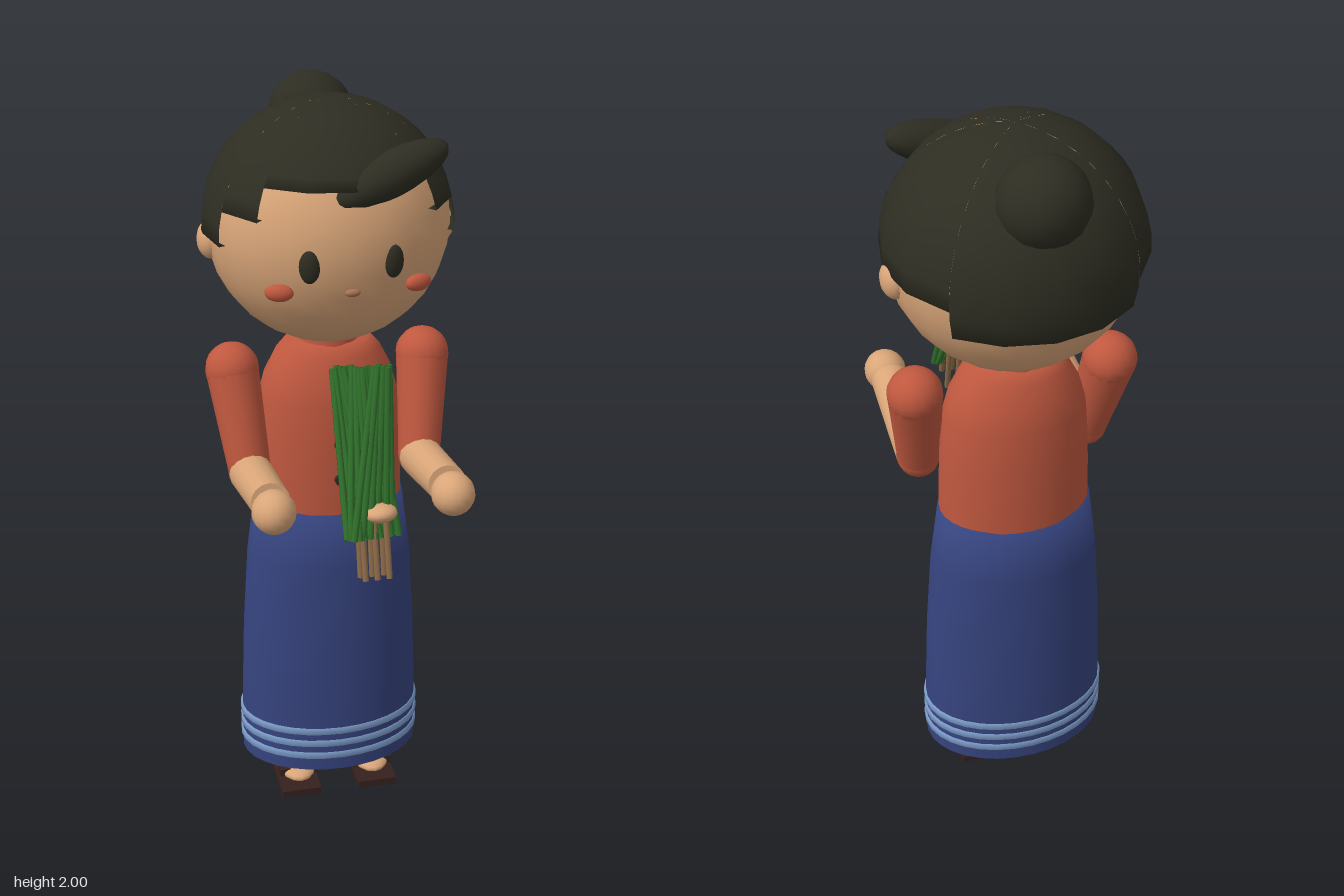
import * as THREE from 'three';

const paint = (name, color, side = THREE.FrontSide) => {
  const m = new THREE.MeshStandardMaterial({ color, side });
  m.name = name;
  return m;
};

export function createModel() {
  const skin = paint('skin', 0xdaa679);
  const hair = paint('hair', 0x2d2d22, THREE.DoubleSide);
  const red = paint('red cloth', 0xc0583f);
  const blue = paint('blue cloth', 0x36447f, THREE.DoubleSide);
  const paleBlue = paint('pale blue stripe', 0x7c9cc9);
  const green = paint('leaf green', 0x2f6e2a);
  const stemBrown = paint('stem brown', 0x8c6a48);
  const soleBrown = paint('sandal brown', 0x35211e);
  const lip = paint('lip', 0xa8714f);

  const model = new THREE.Group();
  const V = (x, y, z) => new THREE.Vector3(x, y, z);
  const rad = THREE.MathUtils.degToRad;
  const MID = -0.135; // depth of the body axis

  const add = (name, geo, mat, x = 0, y = 0, z = 0, parent = model) => {
    const m = new THREE.Mesh(geo, mat);
    m.name = name;
    m.position.set(x, y, z);
    parent.add(m);
    return m;
  };
  const ball = (name, mat, x, y, z, rx, ry, rz, w = 16, h = 12) => {
    const m = add(name, new THREE.SphereGeometry(1, w, h), mat, x, y, z);
    m.scale.set(rx, ry, rz);
    return m;
  };
  // tapered rod between two points
  const rod = (name, mat, a, b, ra, rb, sides = 16) => {
    const d = b.clone().sub(a);
    const m = add(name, new THREE.CylinderGeometry(rb, ra, d.length(), sides), mat);
    m.position.copy(a).add(b).multiplyScalar(0.5);
    m.quaternion.setFromUnitVectors(V(0, 1, 0), d.normalize());
    return m;
  };
  // turned shape, flattened front to back
  const turned = (name, mat, pts, flat = 0.71) => {
    const g = new THREE.LatheGeometry(pts.map(p => new THREE.Vector2(...p)), 32);
    const m = add(name, g, mat, 0, 0, MID);
    m.scale.z = flat;
    return m;
  };

  // Skirt with three hem stripes
  turned('skirt', blue, [[0.251, 0.1], [0.25, 0.25], [0.241, 0.5], [0.226, 0.73], [0.204, 0.9], [0, 0.902]]);
  for (const y of [0.148, 0.188, 0.228]) {
    turned('hemStripe', paleBlue, [[0.248, y - 0.01], [0.256, y - 0.009], [0.256, y + 0.009], [0.248, y + 0.01]]);
  }

  // Blouse, collar and buttons
  turned('blouse', red, [[0.2, 0.895], [0.198, 1.0], [0.194, 1.1], [0.186, 1.2], [0.17, 1.26],
    [0.14, 1.32], [0.11, 1.355], [0, 1.36]], 0.73);
  add('collar', new THREE.CylinderGeometry(0.08, 0.085, 0.05, 24), red, 0, 1.355, MID);
  for (const [y, z] of [[1.29, -0.015], [1.2, 0.004], [1.1, 0.01], [1.0, 0.012]]) {
    add('button', new THREE.CylinderGeometry(0.014, 0.014, 0.02, 10), hair, 0, y, z).rotation.x = Math.PI / 2;
  }

  // Head and face
  const hy = 1.67, hz = -0.13;
  ball('head', skin, 0, hy, hz, 0.312, 0.312, 0.295, 24, 16);
  ball('mouth', lip, 0, 1.575, 0.153, 0.02, 0.01, 0.01);
  for (const s of [-1, 1]) {
    ball('eye', hair, s * 0.105, 1.645, 0.143, 0.026, 0.042, 0.016).rotation.y = s * 0.3;
    ball('cheek', red, s * 0.175, 1.575, 0.115, 0.036, 0.022, 0.018).rotation.y = s * 0.3;
    ball('ear', skin, s * 0.3, 1.635, -0.145, 0.035, 0.05, 0.046);
  }

  // Hair cap cut in steps: [start degree, end degree, lower edge]
  const R = 0.325;
  const steps = [[-45, 45, 1.83], [45, 67.5, 1.75], [67.5, 135, 1.66], [135, 225, 1.58],
    [225, 292.5, 1.66], [292.5, 315, 1.75]];
  for (const [a, b, edge] of steps) {
    const low = Math.asin((edge - hy) / R);
    const pts = [new THREE.Vector2(Math.cos(low) * 0.295, edge - hy)];
    for (let i = 0; i <= 10; i++) {
      const t = low + (Math.PI / 2 - low) * i / 10;
      pts.push(new THREE.Vector2(Math.max(0, Math.cos(t) * R), Math.sin(t) * 0.318));
    }
    add('hairCap', new THREE.LatheGeometry(pts, Math.round((b - a) / 22.5), rad(a), rad(b - a)), hair, 0, hy, hz);
  }
  ball('bun', hair, 0, 1.89, -0.335, 0.112, 0.11, 0.108);
  const tuft = ball('fringeTuft', hair, 0.11, 1.845, 0.085, 0.165, 0.055, 0.06);
  tuft.rotation.set(0, 0.25, 0.33);

  // Arms, hands, legs and sandals
  for (const s of [-1, 1]) {
    const shoulder = V(s * 0.256, 1.283, MID + 0.005), elbow = V(s * 0.23, 1.025, -0.045);
    const wrist = V(s * 0.228, 1.072, 0.24);
    ball('shoulder', red, ...shoulder, 0.071, 0.071, 0.071);
    rod('sleeve', red, elbow, shoulder, 0.056, 0.07);
    ball('sleeveElbow', red, ...elbow, 0.057, 0.06, 0.057);
    rod('forearm', skin, V(s * 0.23, 1.025, -0.03), wrist, 0.057, 0.051);
    ball('hand', skin, s * 0.229, 1.07, 0.287, 0.056, 0.056, 0.06);

    add('leg', new THREE.CylinderGeometry(0.055, 0.05, 0.3, 16), skin, s * 0.11, 0.24, MID);
    add('ankle', new THREE.CylinderGeometry(0.042, 0.04, 0.07, 16), skin, s * 0.11, 0.07, MID);
    ball('foot', skin, s * 0.108, 0.045, -0.095, 0.056, 0.024, 0.095);
    add('sandalSole', new THREE.BoxGeometry(0.112, 0.022, 0.21), soleBrown, s * 0.11, 0.011, -0.09);
    add('sandalStrap', new THREE.BoxGeometry(0.112, 0.022, 0.035), soleBrown, s * 0.108, 0.05, -0.055);
  }

  // Tied bundle of leaves with short stems
  let seed = 7;
  const rnd = () => (seed = (seed * 16807) % 2147483647) / 2147483647;
  const N = 20;
  for (let i = 0; i < N; i++) {
    const t = i / (N - 1), u = (i * 7 % N) / (N - 1);
    const low = V(-0.075 + 0.145 * t, 1.045 - 0.035 * t, 0.435 - 0.08 * t + 0.02 * (rnd() - 0.5));
    const top = V(-0.06 + 0.12 * u, 1.395 + 0.04 * u, 0.175 + 0.115 * u + 0.03 * (rnd() - 0.5));
    rod('leaf', green, low, top, 0.009, 0.008, 6);
  }
  for (let i = 0; i < 6; i++) {
    const x = (i % 3 - 1) * 0.03, k = i < 3 ? 0 : 1;
    rod('stem', stemBrown, V(x, 0.93 - 0.02 * k, 0.432 - 0.055 * k), V(x, 1.08, 0.385 - 0.045 * k), 0.008, 0.008, 6);
  }
  ball('bundleTie', skin, 0.018, 1.083, 0.372, 0.044, 0.024, 0.045).rotation.x = -0.2;

  return model;
}
